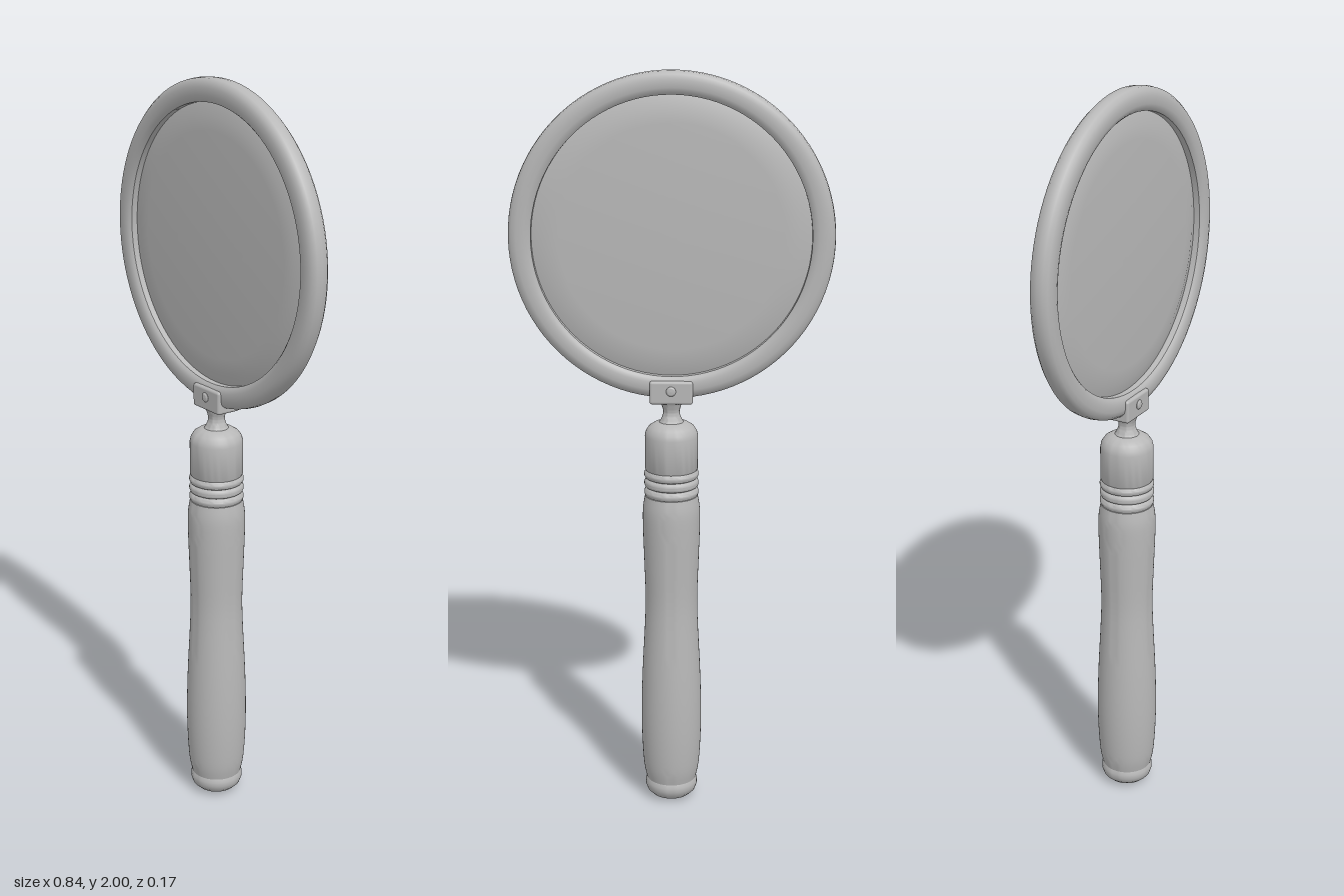
import * as THREE from 'three';
import { toCreasedNormals } from 'three/addons/utils/BufferGeometryUtils.js';
import { RoundedBoxGeometry } from 'three/addons/geometries/RoundedBoxGeometry.js';

const RIM_Y = 1.58;

export function createModel() {
  const model = new THREE.Group();
  model.name = 'magnifyingGlass';
  const grey = new THREE.MeshStandardMaterial({ color: 0xb8b8b8 });
  grey.name = 'plain grey';

  const add = (name, geometry, x = 0, y = 0, z = 0) => {
    const mesh = new THREE.Mesh(geometry, grey);
    mesh.name = name;
    mesh.position.set(x, y, z);
    model.add(mesh);
    return mesh;
  };
  const vectors = (pairs) => pairs.map(([r, y]) => new THREE.Vector2(r, y));
  const turn = (points, sides = 48, crease = 0.6) =>
    toCreasedNormals(new THREE.LatheGeometry(points, sides), crease);

  // Handle: pommel, then a smooth swelling grip
  add('pommel', turn(vectors([
    [0, 0], [0.035, 0.002], [0.055, 0.01], [0.067, 0.022], [0.072, 0.036],
    [0.072, 0.048], [0.068, 0.058], [0, 0.058],
  ])));
  const grip = new THREE.SplineCurve(vectors([
    [0.069, 0.058], [0.077, 0.1], [0.082, 0.18], [0.083, 0.27], [0.08, 0.38],
    [0.073, 0.52], [0.071, 0.6], [0.074, 0.7], [0.077, 0.79], [0.077, 0.85], [0.071, 0.89],
  ])).getPoints(40);
  add('grip', turn([...grip, new THREE.Vector2(0, 0.89)]));

  // Three beaded rings between grip and ferrule
  for (let i = 0; i < 3; i++) {
    const y = 0.888 + i * 0.025;
    add('handleRing', turn(vectors([
      [0.064, y], [0.07, y + 0.003], [0.073, y + 0.009], [0.073, y + 0.015],
      [0.07, y + 0.021], [0.064, y + 0.025],
    ])));
  }

  // Ferrule with a domed shoulder
  add('ferrule', turn(vectors([
    [0, 0.962], [0.069, 0.962], [0.071, 0.966], [0.071, 1.055], [0.068, 1.068],
    [0.06, 1.08], [0.046, 1.089], [0.032, 1.093], [0, 1.094],
  ])));

  // Waisted neck
  add('neck', turn(new THREE.SplineCurve(vectors([
    [0.036, 1.088], [0.028, 1.1], [0.022, 1.118], [0.025, 1.135], [0.032, 1.152],
  ])).getPoints(16)));

  // Clip gripping the rim, with a rivet on each face
  add('clip', new RoundedBoxGeometry(0.114, 0.062, 0.072, 3, 0.007), 0, 1.178, 0);
  for (const side of [1, -1]) {
    const rivet = add('rivet', turn(vectors([
      [0.013, 0], [0.013, 0.002], [0.009, 0.006], [0, 0.008],
    ]), 20), 0, 1.183, side * 0.035);
    rivet.rotation.x = side * Math.PI / 2;
  }

  // Rim: a rounded band turned about the viewing axis
  const rim = add('rim', turn(vectors([
    [0.361, -0.018], [0.367, -0.024], [0.378, -0.028], [0.398, -0.028], [0.411, -0.024],
    [0.419, -0.015], [0.421, 0], [0.419, 0.015], [0.411, 0.024], [0.398, 0.028],
    [0.378, 0.028], [0.367, 0.024], [0.361, 0.018], [0.361, -0.018],
  ]), 96), 0, RIM_Y, 0);
  rim.rotation.x = Math.PI / 2;

  // Lens: gently convex on both faces
  const arc = [];
  for (let i = -10; i <= 10; i++) {
    const t = i / 10;
    const r = 0.364 * (1 - Math.abs(t));
    arc.push(new THREE.Vector2(r, Math.sign(t) * (0.01 + 0.01 * (1 - (r / 0.364) ** 2))));
  }
  const lens = add('lens', turn(arc, 96, 0.5), 0, RIM_Y, 0);
  lens.rotation.x = Math.PI / 2;

  return model;
}
